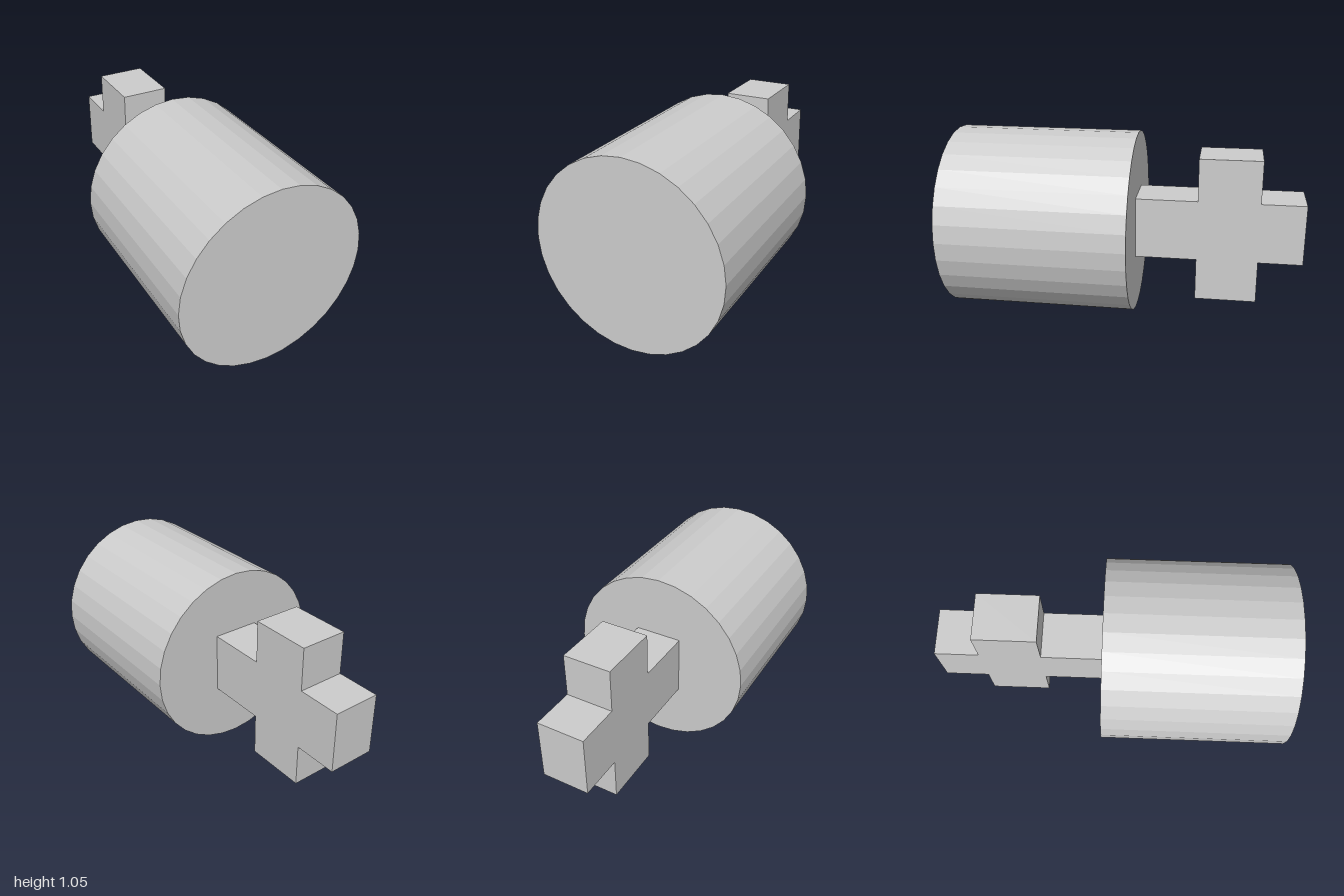
import * as THREE from 'three';

export function createModel() {
  const model = new THREE.Group();
  const material = new THREE.MeshStandardMaterial({ color: 0xcccccc, flatShading: true });
  const radius = 0.525;

  // Faceted drum lying along z
  const drumGeometry = new THREE.CylinderGeometry(radius, radius, 1.05, 32);
  drumGeometry.rotateX(Math.PI / 2);
  const drum = new THREE.Mesh(drumGeometry, material);
  drum.name = 'drum';
  drum.position.set(0, radius, 0.475);
  model.add(drum);

  // Cross-shaped plate: outline drawn as (distance behind the drum, height)
  const arm = 0.175, reach = 0.42;
  const outline = [
    [0, -arm], [0.35, -arm], [0.35, -reach], [0.7, -reach], [0.7, -arm], [0.95, -arm],
    [0.95, arm], [0.7, arm], [0.7, reach], [0.35, reach], [0.35, arm], [0, arm],
  ];
  const shape = new THREE.Shape(outline.map(([d, h]) => new THREE.Vector2(d, h)));
  const thickness = 0.27;
  const crossGeometry = new THREE.ExtrudeGeometry(shape, { depth: thickness, bevelEnabled: false });
  crossGeometry.translate(0, 0, -thickness / 2);
  crossGeometry.rotateY(Math.PI / 2);
  const cross = new THREE.Mesh(crossGeometry, material);
  cross.name = 'rearCross';
  cross.position.set(0, radius, -0.05);
  model.add(cross);

  return model;
}
